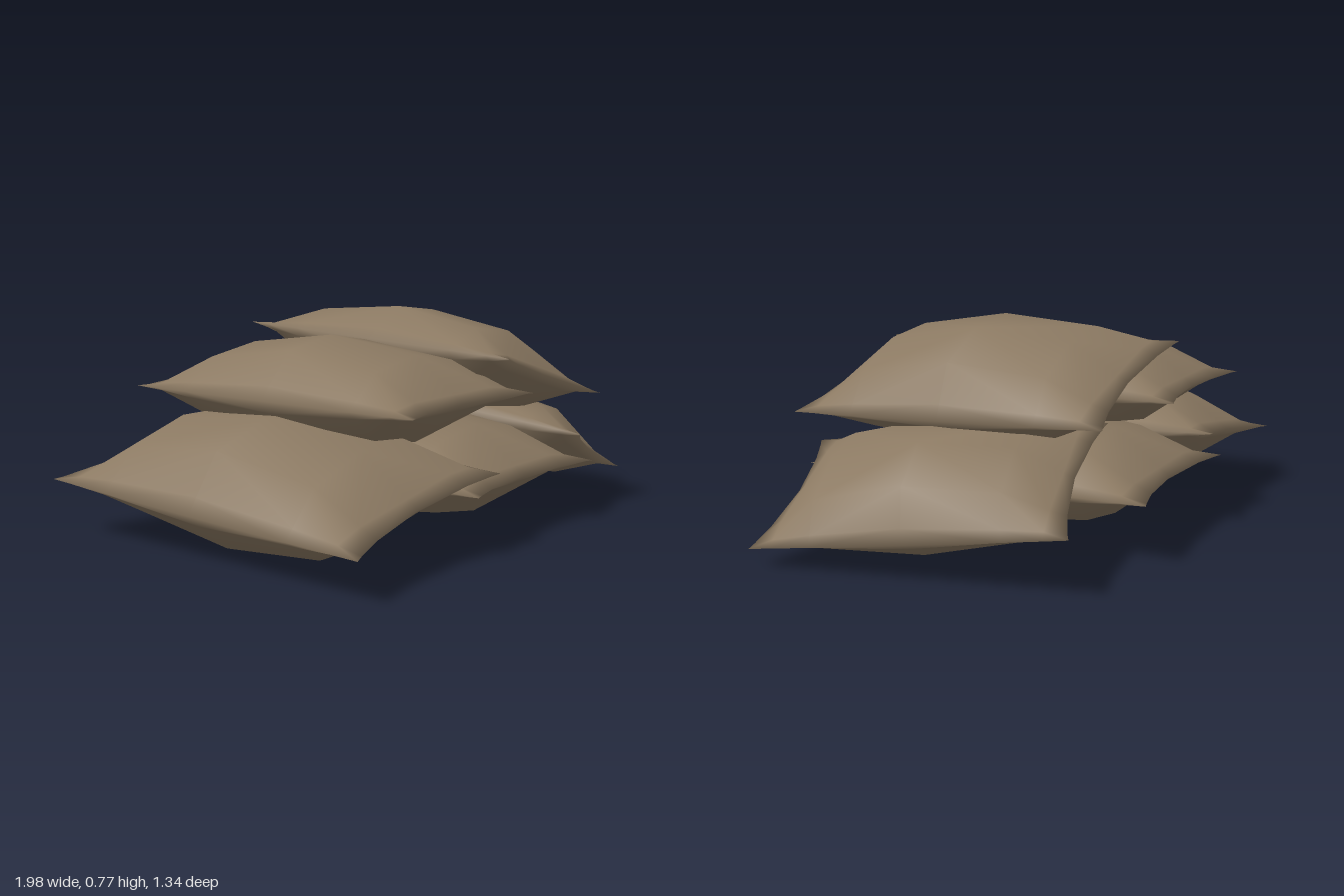
import * as THREE from 'three';
import { mergeVertices } from 'three/addons/utils/BufferGeometryUtils.js';

// One quarter of a stuffed bag: grid lines outwards from the middle, and the
// half thickness at each crossing (rows along the width, columns along the length)
const WIDTH = [0, 0.24, 0.35, 0.39];
const LENGTH = [0, 0.4, 0.57, 0.61];
const THICKNESS = [
  [0.21, 0.16, 0.03, 0],
  [0.17, 0.12, 0.03, 0],
  [0.05, 0.03, 0.015, 0],
  [0, 0, 0, 0],
];

// Pillow-shaped bag with a pinched seam and pulled-out corners
function createBagGeometry() {
  const positions = [];
  const indices = [];
  for (const side of [1, -1]) {
    const start = positions.length / 3;
    for (let i = -3; i <= 3; i++) {
      for (let j = -3; j <= 3; j++) {
        const a = Math.abs(i), b = Math.abs(j);
        let x = WIDTH[a], z = LENGTH[b];
        if (b === 3) z += 0.06 * (x / 0.39) ** 2; // ends curve inwards
        if (a === 3) x -= 0.005 * b / 3; // sides bow slightly outwards
        positions.push(Math.sign(i) * x, side * THICKNESS[a][b], Math.sign(j) * z);
      }
    }
    for (let i = 0; i < 6; i++) {
      for (let j = 0; j < 6; j++) {
        const p = start + i * 7 + j, q = p + 1, r = p + 7, s = p + 8;
        // diagonals run from the middle to the corners
        const tris = (i < 3) === (j < 3)
          ? [[p, q, s], [p, s, r]]
          : [[p, q, r], [q, s, r]];
        for (const [u, v, w] of tris) indices.push(...(side > 0 ? [u, v, w] : [u, w, v]));
      }
    }
  }
  const geometry = new THREE.BufferGeometry();
  geometry.setAttribute('position', new THREE.Float32BufferAttribute(positions, 3));
  geometry.setIndex(indices);
  const merged = mergeVertices(geometry, 0.001);
  merged.computeVertexNormals();
  return merged;
}

export function createModel() {
  const group = new THREE.Group();
  group.name = 'sandbagPile';
  const burlap = new THREE.MeshStandardMaterial({ color: 0x8b7962 });
  burlap.name = 'brown burlap';
  const geometry = createBagGeometry();

  const bags = [
    { name: 'lowerRightBag', at: [-0.6, 0.23, 0], turn: [0.045, 0.015, 0.16], scale: 1 },
    { name: 'lowerMiddleBag', at: [0.04, 0.21, 0], turn: [0.01, 0, 0], scale: 1 },
    { name: 'lowerLeftBag', at: [0.62, 0.25, 0.02], turn: [0.13, 0.16, -0.4], scale: 0.82 },
    { name: 'upperRightBag', at: [-0.27, 0.49, -0.01], turn: [0, 0, 0], scale: 0.93 },
    { name: 'upperLeftBag', at: [0.26, 0.56, 0.01], turn: [0.05, -0.02, -0.28], scale: 0.9 },
  ];
  for (const { name, at, turn, scale } of bags) {
    const bag = new THREE.Mesh(geometry, burlap);
    bag.name = name;
    bag.position.set(...at);
    bag.rotation.set(...turn);
    bag.scale.setScalar(scale);
    group.add(bag);
  }
  return group;
}
